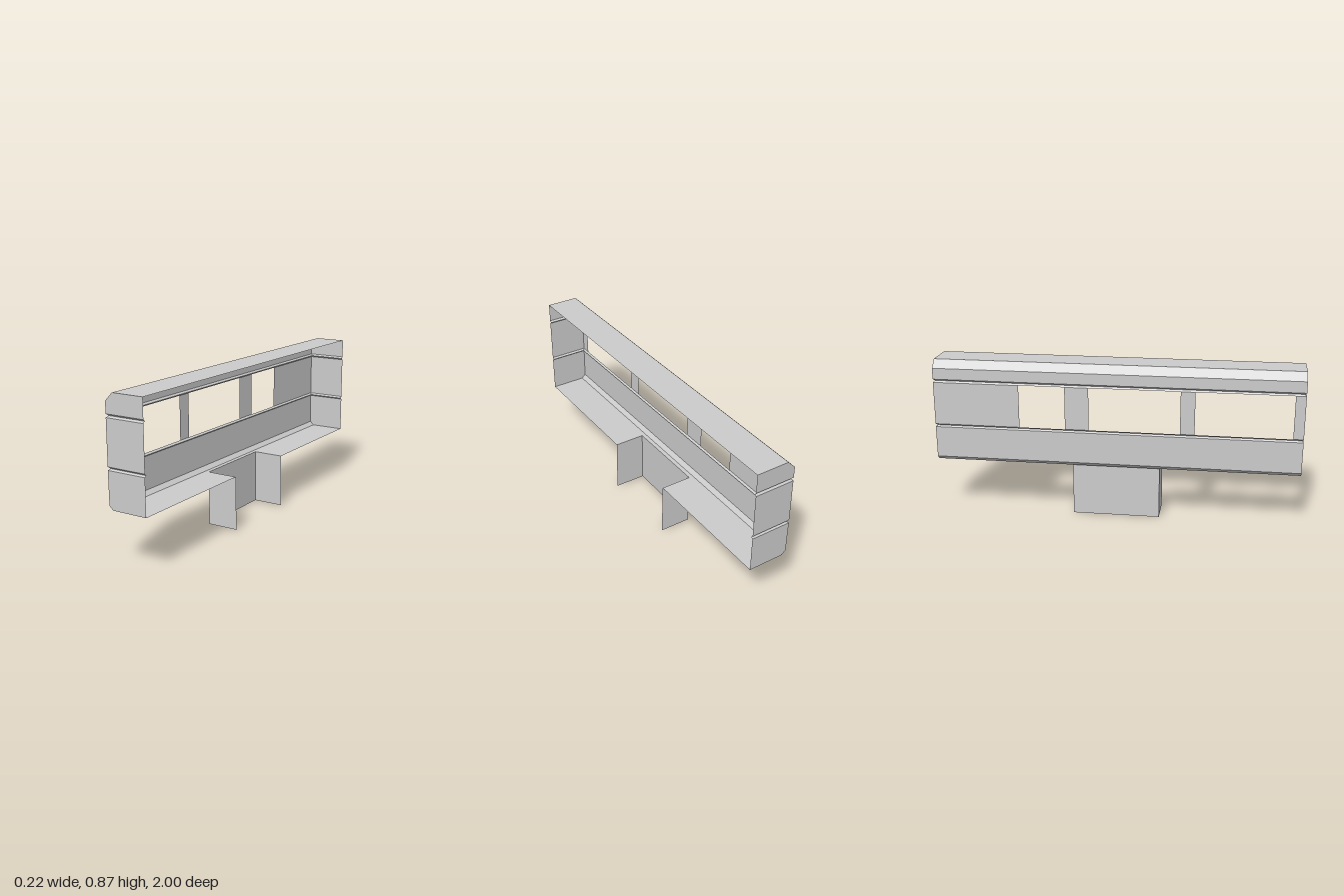
import * as THREE from 'three';

const material = new THREE.MeshStandardMaterial({ color: 0xcccccc, flatShading: true, side: THREE.DoubleSide });

const OPEN_X = 0.108; // open long side of the shell

// Mesh made of four-cornered sheets
function sheetMesh(name, quads) {
  const positions = [];
  for (const [a, b, c, d] of quads) positions.push(...a, ...b, ...c, ...a, ...c, ...d);
  const geometry = new THREE.BufferGeometry();
  geometry.setAttribute('position', new THREE.Float32BufferAttribute(positions, 3));
  geometry.computeVertexNormals();
  const mesh = new THREE.Mesh(geometry, material);
  mesh.name = name;
  return mesh;
}

// Strip between two profile points [x, y, half length], over a range of z
const strip = ([x0, y0, h0], [x1, y1, h1], z0 = -1, z1 = 1) => [
  [x0, y0, z0 * h0], [x0, y0, z1 * h0], [x1, y1, z1 * h1], [x1, y1, z0 * h1],
];

// Long wall running down a profile, plus its two end caps
function shellSection(name, profile, wallRanges = [[-1, 1]]) {
  const group = new THREE.Group();
  group.name = name;
  const wall = [], caps = [];
  for (let i = 0; i < profile.length - 1; i++) {
    const a = profile[i], b = profile[i + 1];
    for (const [z0, z1] of wallRanges) wall.push(strip(a, b, z0, z1));
    for (const s of [1, -1]) {
      const top = [a[0], a[1], s * a[2]], bottom = [b[0], b[1], s * b[2]];
      const outerTop = [OPEN_X, a[1], s * a[2]], outerBottom = [OPEN_X, b[1], s * b[2]];
      caps.push(s > 0 ? [top, bottom, outerBottom, outerTop] : [top, outerTop, outerBottom, bottom]);
    }
  }
  group.add(sheetMesh(name + 'Wall', wall), sheetMesh(name + 'EndCaps', caps));
  return group;
}

export function createModel() {
  const model = new THREE.Group();
  model.name = 'windowedShell';
  const wallX = -0.112, grooveX = -0.102, grooveHalf = 0.99;

  // Roof with chamfered edge
  model.add(sheetMesh('roof', [strip([OPEN_X, 0.865, 1], [-0.07, 0.865, 1])]));
  model.add(shellSection('upperBand', [[-0.07, 0.865, 1], [wallX, 0.822, 1], [wallX, 0.761, 1]]));

  // V-shaped grooves around the wall and ends
  model.add(shellSection('upperGroove', [[wallX, 0.761, 1], [grooveX, 0.752, grooveHalf], [wallX, 0.743, 1]]));
  model.add(shellSection('lowerGroove', [[wallX, 0.507, 1], [grooveX, 0.498, grooveHalf], [wallX, 0.49, 1]]));

  // Window band: only the pillars between the openings are solid
  const pillars = [[0.945, 1], [0.35, 0.428], [-0.273, -0.143], [-1, -0.525]];
  model.add(shellSection('windowBand', [[wallX, 0.743, 1], [wallX, 0.507, 1]], pillars));

  // Lower band with small bottom chamfer
  model.add(shellSection('lowerBand', [[wallX, 0.49, 1], [-0.11, 0.317, 1], [-0.088, 0.296, 1]]));

  // Floor, cut out above the lower skirt
  const floorY = 0.296, skirtX = -0.064, skirtZ = 0.24;
  const inner = [-0.088, floorY, 1], cut = [skirtX, floorY, 1], outer = [OPEN_X, floorY, 1];
  model.add(sheetMesh('floor', [
    strip(inner, cut),
    strip(cut, outer, -1, -skirtZ),
    strip(cut, outer, skirtZ, 1),
  ]));

  // Skirt below the floor: one long wall and two side plates, open beneath
  const skirt = [strip([skirtX, floorY, skirtZ], [skirtX, 0, skirtZ])];
  for (const z of [skirtZ, -skirtZ]) {
    const plate = [[skirtX, floorY, z], [skirtX, 0, z], [0.112, 0, z], [OPEN_X, floorY, z]];
    skirt.push(z > 0 ? plate : plate.reverse());
  }
  model.add(sheetMesh('skirt', skirt));

  return model;
}
